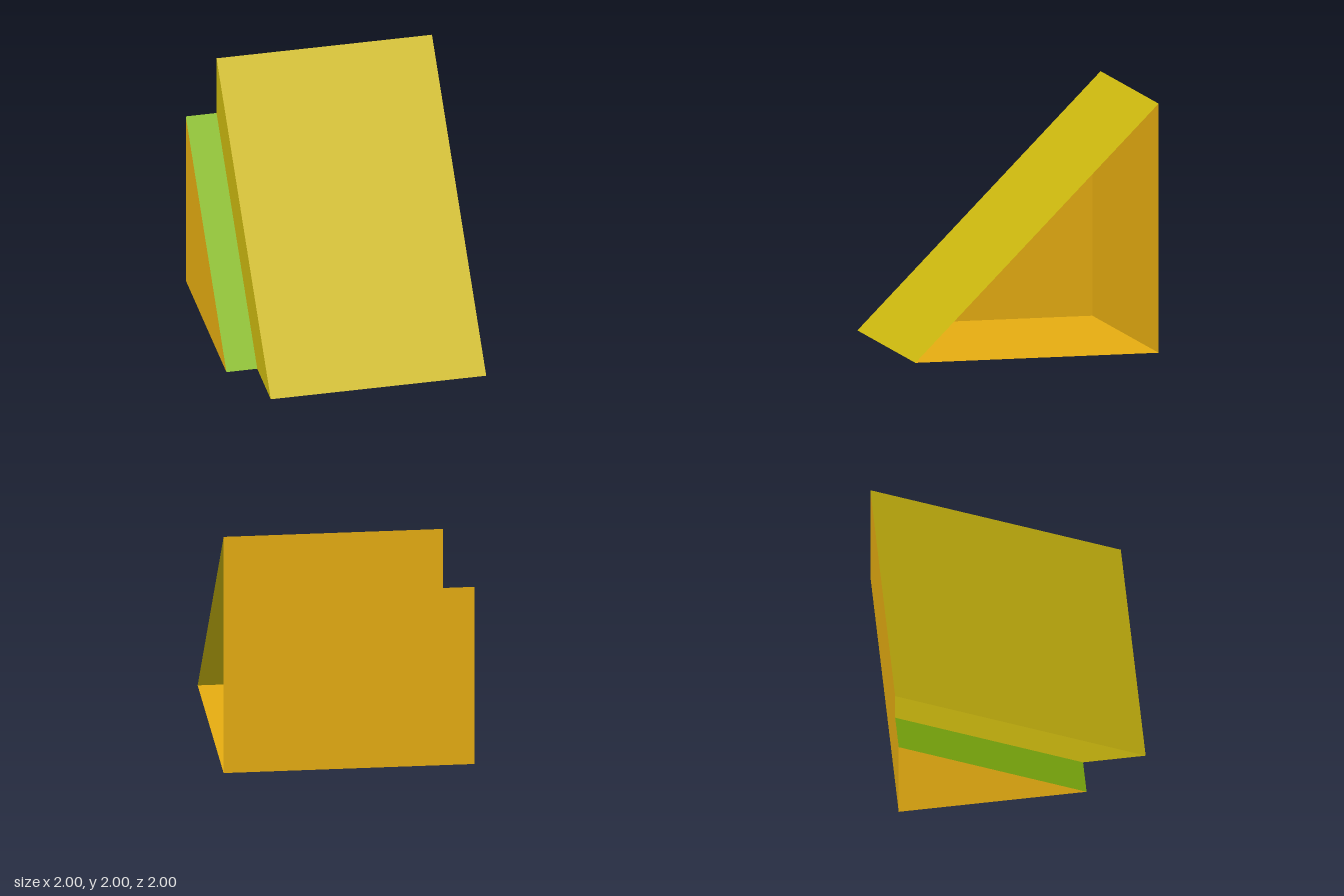
import * as THREE from 'three';

const paint = (name, color) => {
  const m = new THREE.MeshStandardMaterial({ color, side: THREE.DoubleSide });
  m.name = name;
  return m;
};

// Flat panel from a 2D outline; place() turns each (u, v) into (x, y, z).
function panel(name, outline, place, material) {
  const shape = new THREE.Shape(outline.map(([u, v]) => new THREE.Vector2(u, v)));
  const geometry = new THREE.ShapeGeometry(shape);
  const pos = geometry.attributes.position;
  for (let i = 0; i < pos.count; i++) {
    pos.setXYZ(i, ...place(pos.getX(i), pos.getY(i)));
  }
  geometry.computeVertexNormals();
  const mesh = new THREE.Mesh(geometry, material);
  mesh.name = name;
  return mesh;
}

export function createModel() {
  const yellow = paint('yellow', 0xccb80f);
  const orange = paint('orange', 0xe5ac11);
  const green = paint('green', 0x86b90f);
  const group = new THREE.Group();
  group.name = 'hollowWedge';

  const step = -0.75; // where the wedge becomes smaller
  const big = 2, small = 1.5; // height and depth of each wedge section

  // Back wall and floor share one notched outline: u = x, v = distance from the back bottom edge
  const notched = [[-1, 0], [1, 0], [1, big], [step, big], [step, small], [-1, small]];
  // Sloped panels run from the front of the floor up to the top of the back wall
  const slope = (size) => (x, t) => [x, size * t, size - 1 - size * t];
  const strip = (x0, x1) => [[x0, 0], [x1, 0], [x1, 1], [x0, 1]];
  // Upright side panels: u = depth from the back, v = height
  const upright = (x) => (d, y) => [x, y, d - 1];

  group.add(
    panel('backWall', notched, (x, h) => [x, h, -1], orange),
    panel('floor', notched, (x, d) => [x, 0, d - 1], orange),
    panel('mainSlope', strip(step, 1), slope(big), yellow),
    panel('smallSlope', strip(-1, step), slope(small), green),
    panel('stepWall', [[small, 0], [big, 0], [0, big], [0, small]], upright(step), yellow),
    panel('endWall', [[0, 0], [small, 0], [0, small]], upright(-1), orange),
  );
  return group;
}
